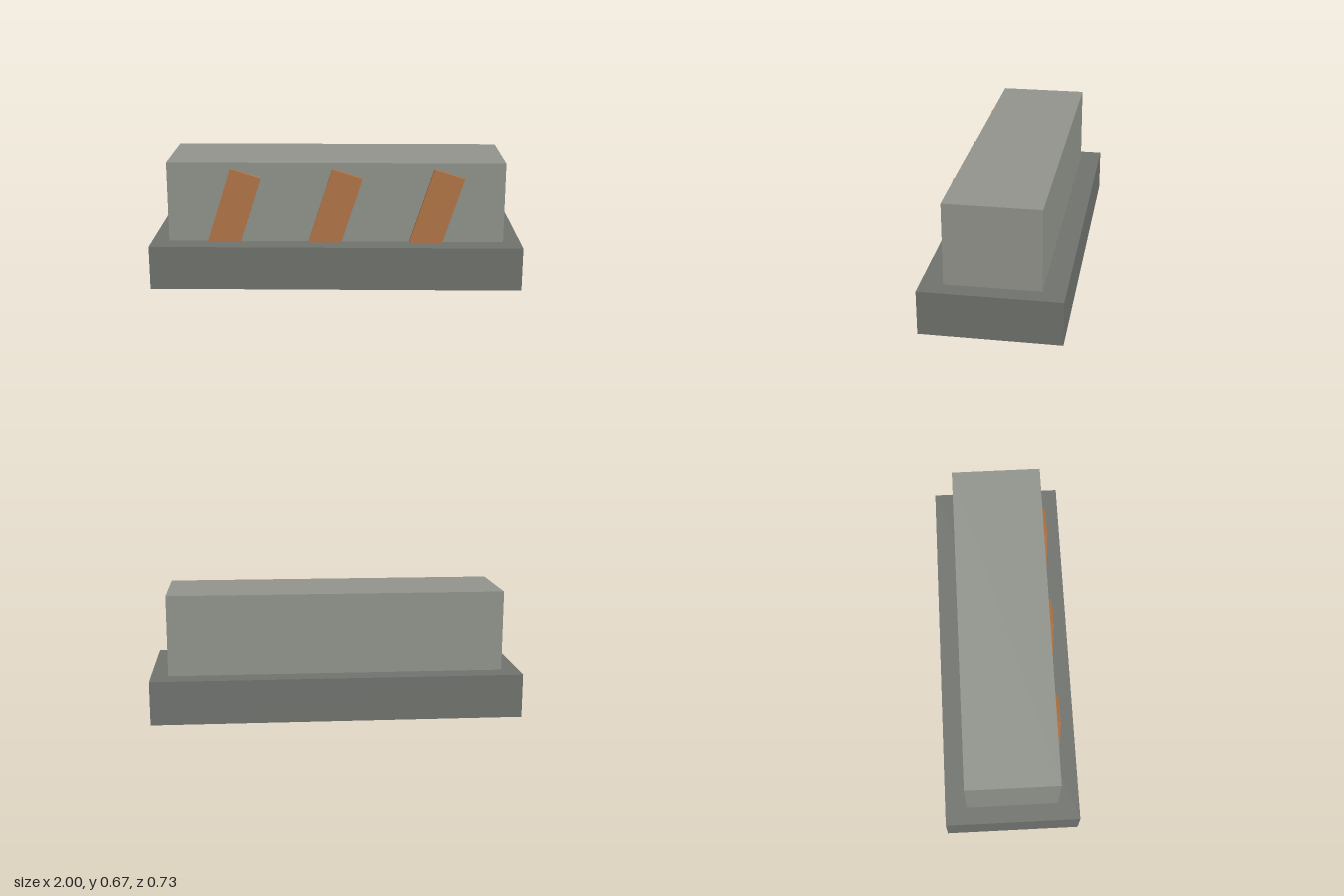
import * as THREE from 'three';

export function createModel() {
  const model = new THREE.Group();
  model.name = 'stripedBarrier';

  const material = (name, color) => {
    const m = new THREE.MeshStandardMaterial({ color });
    m.name = name;
    return m;
  };
  const darkConcrete = material('darkConcrete', 0x6f726d);
  const lightConcrete = material('lightConcrete', 0x90938b);
  const orange = material('orange', 0xb07445);

  const box = (name, size, position, mat) => {
    const mesh = new THREE.Mesh(new THREE.BoxGeometry(...size), mat);
    mesh.name = name;
    mesh.position.set(...position);
    model.add(mesh);
    return mesh;
  };

  // Wide footing and the narrower block standing on it
  const baseTop = 0.237, top = 0.673;
  box('base', [2, baseTop, 0.727], [0, baseTop / 2, 0], darkConcrete);
  box('upperBlock', [1.814, top - baseTop, 0.493], [0, (top + baseTop) / 2, 0], lightConcrete);

  // Slanted plates on the front, their lower corners sunk into the footing
  for (const i of [-1, 0, 1]) {
    const stripe = box(`stripe${i + 2}`, [0.171, 0.42, 0.036], [i * 0.545 - 0.002, 0.4165, 0.249], orange);
    stripe.rotation.z = -0.31;
  }

  return model;
}
